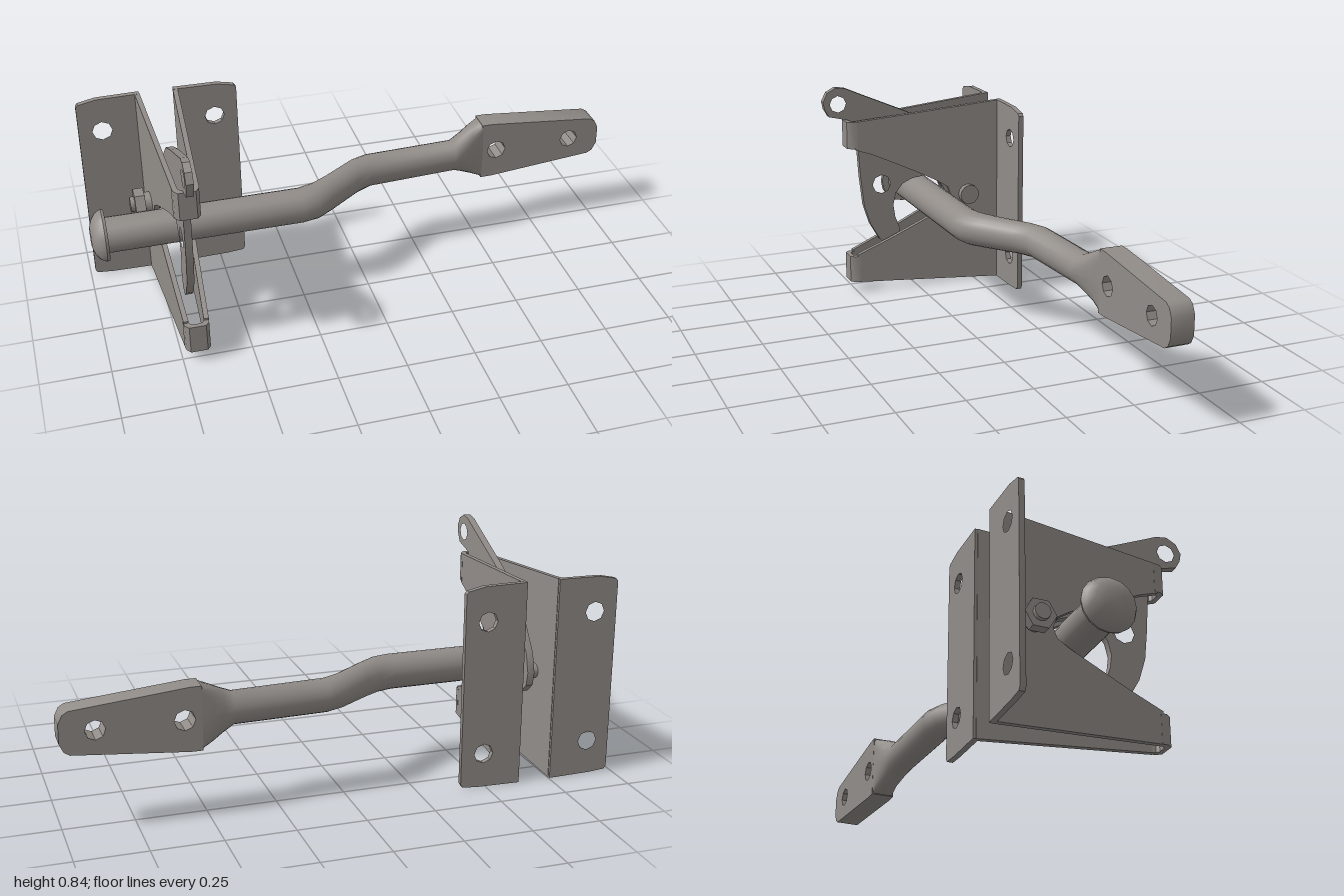
import * as THREE from 'three';
import { toCreasedNormals } from 'three/addons/utils/BufferGeometryUtils.js';

const CX = -0.6925; // centre line of the bracket
const steel = new THREE.MeshStandardMaterial({ color: 0x918c88 });
steel.name = 'steel grey';

function part(name, geometry, crease = 0.6) {
  const mesh = new THREE.Mesh(toCreasedNormals(geometry, crease), steel);
  mesh.name = name;
  return mesh;
}

// Flat plate from outline points, with round holes given as [x, y, radius]
function plate(points, depth, holes = []) {
  const shape = new THREE.Shape(points.map(([x, y]) => new THREE.Vector2(x, y)));
  for (const [x, y, r] of holes) {
    const hole = new THREE.Path();
    hole.absarc(x, y, r, 0, Math.PI * 2, true);
    shape.holes.push(hole);
  }
  return new THREE.ExtrudeGeometry(shape, { depth, bevelEnabled: false, curveSegments: 4 });
}

// Plate drawn in (z, y), standing upright and centred across x
function uprightPlate(points, thickness, holes) {
  return plate(points, thickness, holes).rotateY(-Math.PI / 2).translate(thickness / 2, 0, 0);
}

// Tube along x from sections [x, z, half height, half depth, squareness]
function loft(sections, yMid, n = 20) {
  const pos = [], index = [];
  const power = (v, e) => Math.sign(v) * Math.abs(v) ** e;
  for (const [x, z, ry, rz, e = 1] of sections) {
    for (let j = 0; j < n; j++) {
      const a = (j / n) * Math.PI * 2;
      pos.push(x, yMid + ry * power(Math.cos(a), e), z + rz * power(Math.sin(a), e));
    }
  }
  for (let i = 0; i < sections.length - 1; i++) {
    for (let j = 0; j < n; j++) {
      const a = i * n + j, b = i * n + ((j + 1) % n);
      index.push(a, b, a + n, b, b + n, a + n);
    }
  }
  const g = new THREE.BufferGeometry();
  g.setAttribute('position', new THREE.Float32BufferAttribute(pos, 3));
  g.setIndex(index);
  return g;
}

function buildBracket() {
  const bracket = new THREE.Group();
  bracket.name = 'bracket';

  // Side walls, leaning together toward the front, with a V notch for the bar
  const wall = [
    [-0.355, 0], [0.245, 0.042], [0.245, 0.157], [0.12, 0.208], [-0.09, 0.303],
    [-0.135, 0.33], [-0.15, 0.365], [-0.135, 0.405], [-0.09, 0.435], [0.0, 0.482],
    [0.1, 0.53], [0.18, 0.567], [0.245, 0.59], [0.245, 0.702], [-0.355, 0.75],
  ];
  // Mounting flange with two screw holes
  const flange = [
    [0.062, 0], [0.22, 0.003], [0.282, 0.008], [0.29, 0.02],
    [0.29, 0.725], [0.282, 0.735], [0.22, 0.748], [0.062, 0.75],
  ];
  for (const side of [-1, 1]) {
    const label = side > 0 ? 'left' : 'right';
    const g = uprightPlate(wall, 0.018);
    const p = g.attributes.position;
    for (let i = 0; i < p.count; i++) {
      p.setX(i, CX + p.getX(i) + side * (0.0494 - 0.056 * p.getZ(i)));
    }
    bracket.add(part(label + 'Wall', g));

    const outline = flange.map(([x, y]) => [side * x, y]);
    const holes = [0.13, 0.62].map((y) => [side * 0.205, y, 0.036]);
    bracket.add(part(label + 'Flange', plate(outline, 0.02, holes).translate(CX, 0, -0.365)));
  }

  // Two folded bridges closing the front
  const fold = [
    [-0.046, 0.235], [-0.028, 0.235], [-0.024, 0.25], [-0.014, 0.258],
    [0.014, 0.258], [0.024, 0.25], [0.028, 0.235], [0.046, 0.235],
    [0.043, 0.258], [0.03, 0.275], [-0.03, 0.275], [-0.043, 0.258],
  ];
  for (const [name, low, high] of [['lowerBridge', 0.043, 0.15], ['upperBridge', 0.595, 0.702]]) {
    bracket.add(part(name, plate(fold, high - low).rotateX(Math.PI / 2).translate(CX, high, 0)));
  }
  return bracket;
}

function buildPivot() {
  const pivot = new THREE.Group();
  pivot.name = 'pivotBolt';
  // name, radius, sides, x start, x end
  const pieces = [
    ['boltShank', 0.028, 12, -0.838, -0.605],
    ['nut', 0.055, 6, -0.822, -0.785],
    ['washer', 0.038, 12, -0.79, -0.76],
    ['boltHead', 0.04, 12, -0.625, -0.6],
  ];
  for (const [name, r, sides, x0, x1] of pieces) {
    const g = new THREE.CylinderGeometry(r, r, x1 - x0, sides).rotateZ(Math.PI / 2);
    pivot.add(part(name, g.translate((x0 + x1) / 2, 0.37, -0.22)));
  }
  return pivot;
}

function buildLever() {
  // Hooked latch lever with a pull eye at the top
  const outline = [
    [0.14, 0.2], [0.1, 0.165], [0.065, 0.175], [0.055, 0.235], [0.075, 0.29],
    [0.082, 0.34], [0.07, 0.39], [0.04, 0.425], [0, 0.443], [-0.06, 0.45],
    [-0.11, 0.43], [-0.135, 0.39], [-0.15, 0.34], [-0.19, 0.305], [-0.25, 0.305],
    [-0.29, 0.34], [-0.3, 0.39], [-0.28, 0.46], [-0.2, 0.57], [-0.1, 0.66],
    [0.02, 0.72], [0.2, 0.8], [0.27, 0.832], [0.31, 0.838], [0.345, 0.82],
    [0.363, 0.785], [0.357, 0.755], [0.34, 0.725], [0.26, 0.705], [0.235, 0.68],
    [0.225, 0.585], [0.218, 0.47], [0.205, 0.35], [0.18, 0.27],
  ];
  const lever = uprightPlate(outline, 0.026, [[0.303, 0.773, 0.033], [0.13, 0.432, 0.038]]);
  return part('latchLever', lever.translate(CX, 0, 0));
}

function buildStriker() {
  const striker = new THREE.Group();
  striker.name = 'strikerBar';
  const y = 0.365;

  // Cranked round bar, flattening into the mounting end
  striker.add(part('bar', loft([
    [-0.96, -0.055, 0.064, 0.064], [-0.24, -0.055, 0.064, 0.064],
    [-0.18, -0.07, 0.064, 0.069], [-0.12, -0.108, 0.062, 0.069],
    [0, -0.194, 0.06, 0.067], [0.06, -0.221, 0.06, 0.06],
    [0.4, -0.238, 0.059, 0.057], [0.44, -0.25, 0.078, 0.053, 0.85],
    [0.48, -0.263, 0.098, 0.047, 0.6], [0.525, -0.27, 0.115, 0.042, 0.2],
  ], y), 0.8));

  // Flat end with two screw holes
  const flat = [
    [0.52, 0.25], [0.56, 0.25], [0.965, 0.288], [0.985, 0.3], [1, 0.33],
    [1, 0.4], [0.985, 0.43], [0.965, 0.442], [0.56, 0.48], [0.52, 0.48],
  ];
  const holes = [[0.58, 0.365, 0.037], [0.88, 0.367, 0.035]];
  striker.add(part('mountingEnd', plate(flat, 0.084, holes).translate(0, 0, -0.312)));

  // Domed stop on the free end
  const dome = [[0, 0], [0.092, 0], [0.095, 0.01], [0.085, 0.03], [0.062, 0.046], [0.036, 0.055], [0, 0.055]];
  const head = new THREE.LatheGeometry(dome.map(([r, h]) => new THREE.Vector2(r, h)), 16);
  striker.add(part('domedHead', head.rotateZ(Math.PI / 2).translate(-0.945, y, -0.055)));
  return striker;
}

export function createModel() {
  const model = new THREE.Group();
  model.name = 'gateLatch';
  model.add(buildBracket(), buildPivot(), buildLever(), buildStriker());
  return model;
}
